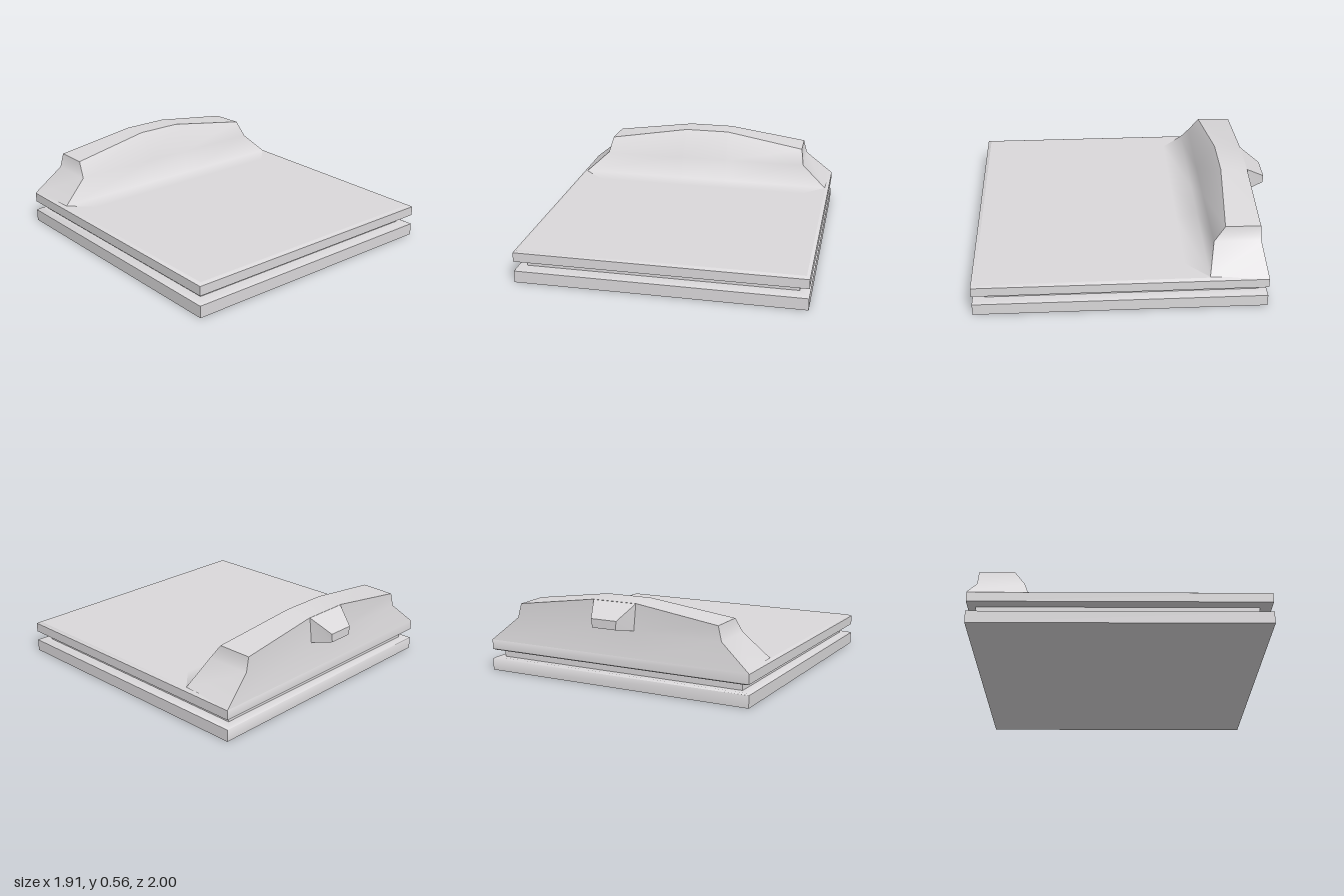
import * as THREE from 'three';
import { toCreasedNormals } from 'three/addons/utils/BufferGeometryUtils.js';

const shell = new THREE.MeshStandardMaterial({ color: 0xdad8da });
shell.name = 'pale grey shell';

// Surface through rows of points; rows run upward, columns left to right seen from outside
function panel(rows) {
  const n = rows[0].length, index = [];
  for (let r = 0; r < rows.length - 1; r++) {
    for (let c = 0; c < n - 1; c++) {
      const a = r * n + c, b = a + 1, d = a + n, e = d + 1;
      index.push(a, b, e, a, e, d);
    }
  }
  const g = new THREE.BufferGeometry();
  g.setAttribute('position', new THREE.Float32BufferAttribute(rows.flat(2), 3));
  g.setIndex(index);
  g.computeVertexNormals();
  return g;
}

function add(group, name, geometry) {
  const mesh = new THREE.Mesh(geometry, shell);
  mesh.name = name;
  group.add(mesh);
}

// Closed rectangular ring, counter-clockwise seen from above
const ring = (y, hx, front, back) => [
  [-hx, y, front], [hx, y, front], [hx, y, back], [-hx, y, back], [-hx, y, front],
];

export function createModel() {
  const model = new THREE.Group();
  model.name = 'cartridge';

  // Two plates joined by a recessed neck: height, side inset, front inset, back inset
  const profile = [
    [0, 0, 0, 0], [0.08, 0, 0, 0], [0.09, 0.02, 0.02, 0.01], [0.09, 0.065, 0.08, 0.053],
    [0.14, 0.065, 0.08, 0.053], [0.14, 0.02, 0.02, 0.01], [0.147, 0, 0, 0],
    [0.21, 0, 0, 0], [0.222, 0.022, 0.024, 0.008],
  ];
  const rings = profile.map(([y, s, f, b]) => ring(y, 0.953 - s, 1 - f, -0.91 + b));
  add(model, 'groovedSlab', toCreasedNormals(panel(rings), 0.9));

  // Flat faces closing the slab
  const [bottom, top] = [rings[0], rings[rings.length - 1]];
  add(model, 'slabTop', panel([[top[0], top[1]], [top[3], top[2]]]));
  add(model, 'slabBottom', panel([[bottom[3], bottom[2]], [bottom[0], bottom[1]]]));

  // Raised ridge at the back, flaring toward its base and meeting the slab's rear corners
  const ridge = new THREE.Group();
  ridge.name = 'ridge';
  model.add(ridge);
  const row = (ex, ey, ez, mx, my, mz) =>
    [[-ex, ey, ez], [-mx, my, mz], [mx, my, mz], [ex, ey, ez]];
  const front = [
    row(0.925, 0.223, -0.53, 0.17, 0.223, -0.53),
    row(0.755, 0.378, -0.568, 0.17, 0.378, -0.565),
    row(0.735, 0.478, -0.64, 0.16, 0.563, -0.685),
  ];
  const back = [
    row(0.953, 0.212, -0.911, 0.17, 0.212, -0.911),
    row(0.755, 0.378, -0.877, 0.17, 0.378, -0.877),
    row(0.73, 0.474, -0.872, 0.16, 0.555, -0.868),
  ];
  // Blend running from the slab top into the ridge front
  const blend = row(0.77, 0.223, -0.38, 0.25, 0.223, -0.38);
  add(ridge, 'ridgeFront', panel([blend, ...front]));
  add(ridge, 'ridgeBack', panel(back.map((r) => [...r].reverse())));
  add(ridge, 'ridgeTop', panel([front[2], back[2]]));
  add(ridge, 'ridgeLeftEnd', panel(front.map((r, i) => [r[3], back[i][3]])));
  add(ridge, 'ridgeRightEnd', panel(front.map((r, i) => [back[i][0], r[0]])));

  // Tapered catch behind the ridge
  const section = (z, lo, hi, wLo, wHi) =>
    [[-wLo, lo, z], [-wHi, hi, z], [wHi, hi, z], [wLo, lo, z], [-wLo, lo, z]];
  const root = section(-0.866, 0.378, 0.555, 0.15, 0.157);
  const tip = section(-1, 0.403, 0.46, 0.085, 0.092);
  add(model, 'catchSides', toCreasedNormals(panel([root, tip]), 0.4));
  add(model, 'catchTip', panel([[tip[3], tip[0]], [tip[2], tip[1]]]));

  return model;
}
